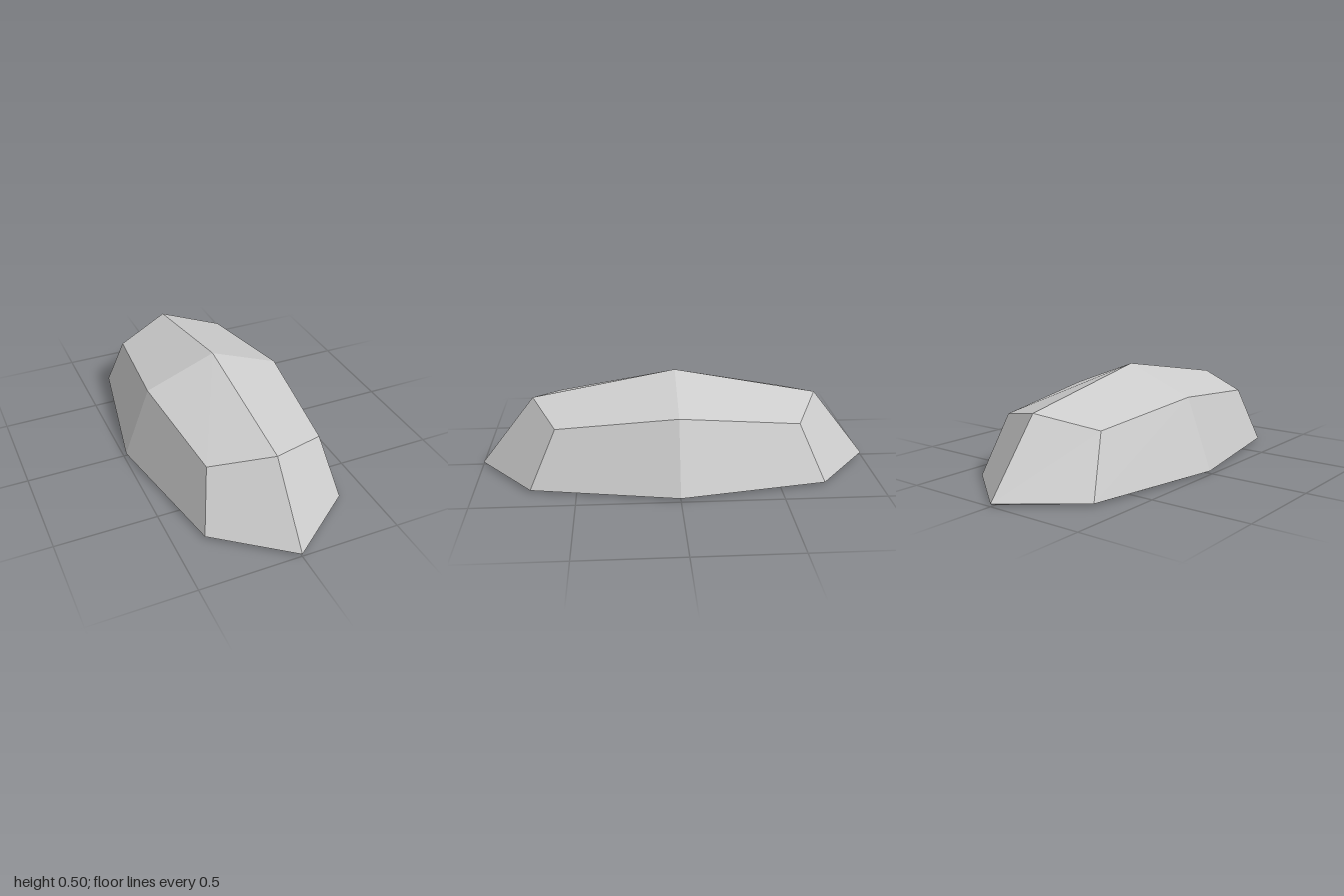
import * as THREE from 'three';

// Key points of one quarter of a skin: rim at both axes and corner, ring likewise, apex
const OUTER = {
  rimX: [0.487, 0.012, 0], rimC: [0.353, 0.012, 0.725], rimZ: [0, 0.012, 1],
  ringX: [0.353, 0.365, 0], ringC: [0.29, 0.302, 0.597], ringZ: [0, 0.365, 0.725],
  apex: [0, 0.5, 0],
};
const INNER = {
  rimX: [0.46, 0, 0], rimC: [0.332, 0, 0.692], rimZ: [0, 0, 0.968],
  ringX: [0.33, 0.342, 0], ringC: [0.271, 0.278, 0.573], ringZ: [0, 0.339, 0.704],
  apex: [0, 0.471, 0],
};

// Facets from four corners each, mirrored into all four quarters, one normal per facet
function facets(quads) {
  const position = [], normal = [];
  for (const sx of [1, -1]) for (const sz of [1, -1]) {
    for (const quad of quads) {
      const p = quad.map(([x, y, z]) => new THREE.Vector3(x * sx, y, z * sz));
      if (sx * sz < 0) [p[1], p[3]] = [p[3], p[1]];
      const n = p[2].clone().sub(p[0]).cross(p[3].clone().sub(p[1])).normalize();
      for (const i of [0, 1, 2, 0, 2, 3]) {
        position.push(...p[i].toArray());
        normal.push(...n.toArray());
      }
    }
  }
  const geometry = new THREE.BufferGeometry();
  geometry.setAttribute('position', new THREE.Float32BufferAttribute(position, 3));
  geometry.setAttribute('normal', new THREE.Float32BufferAttribute(normal, 3));
  return geometry;
}

// One top facet and two wall facets per quarter
const skin = (s) => [
  [s.apex, s.ringZ, s.ringC, s.ringX],
  [s.ringX, s.ringC, s.rimC, s.rimX],
  [s.ringC, s.ringZ, s.rimZ, s.rimC],
];

export function createModel() {
  const group = new THREE.Group();
  group.name = 'hollowShell';
  const grey = new THREE.MeshStandardMaterial({ color: 0xcccccc });
  grey.name = 'lightGrey';

  const add = (name, quads) => {
    const mesh = new THREE.Mesh(facets(quads), grey);
    mesh.name = name;
    group.add(mesh);
  };

  add('outerShell', skin(OUTER));
  // The inside skin faces inward
  add('innerShell', skin(INNER).map((q) => q.slice().reverse()));
  // Narrow rim joining both skins underneath
  add('rim', [
    [OUTER.rimX, OUTER.rimC, INNER.rimC, INNER.rimX],
    [OUTER.rimC, OUTER.rimZ, INNER.rimZ, INNER.rimC],
  ]);
  return group;
}
